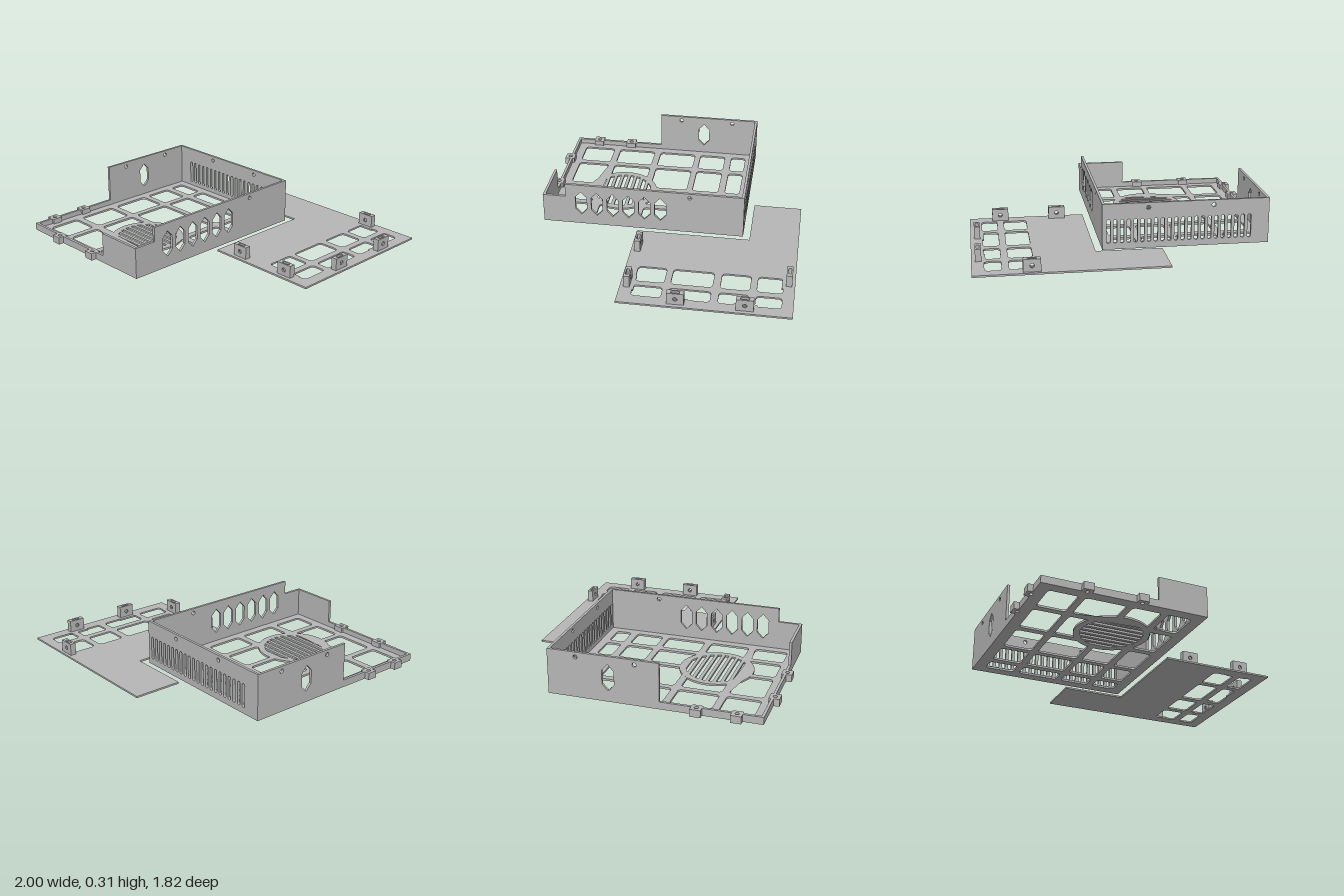
import * as THREE from 'three';

const T = 0.018;                                   // wall thickness
const X0 = -0.965, X1 = 0.15, Z0 = -0.532, Z1 = 0.871; // tray outline
const FAN = { x: -0.305, z: 0.395, outer: 0.25, inner: 0.208 };

const poly = pts => new THREE.Shape(pts.map(p => new THREE.Vector2(p[0], p[1])));
const rect = (a, b, c, d) => poly([[a, b], [c, b], [c, d], [a, d]]);
const circle = (x, y, r) => new THREE.Path().absarc(x, y, r, 0, Math.PI * 2);
const hexagon = z => poly([[z, 0.075], [z + 0.04, 0.118], [z + 0.04, 0.212], [z, 0.255], [z - 0.04, 0.212], [z - 0.04, 0.118]]);

function roundRect(a, b, c, d, r = 0.025) {
  const s = new THREE.Shape(), q = Math.PI / 2;
  s.absarc(c - r, b + r, r, -q, 0);
  s.absarc(c - r, d - r, r, 0, q);
  s.absarc(a + r, d - r, r, q, 2 * q);
  s.absarc(a + r, b + r, r, 2 * q, 3 * q);
  s.closePath();
  return s;
}

const extrude = (shape, depth) =>
  new THREE.ExtrudeGeometry(shape, { depth, bevelEnabled: false, curveSegments: 10 });
// Horizontal plate from an (x, z) shape
const plate = (shape, h) => extrude(shape, h).rotateX(Math.PI / 2).translate(0, h, 0);
// Wall along x from an (x, y) shape, starting at z
const wallX = (shape, z) => extrude(shape, T).translate(0, 0, z);
// Wall along z from a (z, y) shape, ending at x
const wallZ = (shape, x) => extrude(shape, T).rotateY(-Math.PI / 2).translate(x, 0, 0);

// Grid opening, with any part inside the fan ring pushed out to the ring
function gridOpening(a, b, c, d) {
  const pts = roundRect(a, b, c, d).getSpacedPoints(120);
  pts.pop();
  let inside = 0;
  for (const p of pts) {
    const dx = p.x - FAN.x, dz = p.y - FAN.z, len = Math.hypot(dx, dz);
    if (len < FAN.outer) {
      inside++;
      p.set(FAN.x + dx / len * FAN.outer, FAN.z + dz / len * FAN.outer);
    }
  }
  if (inside === pts.length) return null;
  return inside ? new THREE.Path(pts) : roundRect(a, b, c, d);
}

export function createModel() {
  const model = new THREE.Group();
  const grey = new THREE.MeshStandardMaterial({ color: 0xb6b6b6 });
  grey.name = 'grey plastic';
  const tray = new THREE.Group(), lid = new THREE.Group();
  tray.name = 'tray';
  lid.name = 'lid';
  model.add(tray, lid);
  const add = (parent, name, geometry) => {
    const mesh = new THREE.Mesh(geometry, grey);
    mesh.name = name;
    parent.add(mesh);
    return mesh;
  };

  // Tray floor with grid openings and slatted fan vent
  const floor = rect(X0 + T, Z0 + T, X1 - T, Z1 - T);
  const cols = [[-0.888, -0.69], [-0.647, -0.37], [-0.33, -0.134], [-0.09, 0.075]];
  const rows = [[-0.457, -0.35], [-0.3, -0.11], [-0.067, 0.203], [0.25, 0.522], [0.57, 0.795]];
  for (const [a, c] of cols) for (const [b, d] of rows) {
    const hole = gridOpening(a, b, c, d);
    if (hole) floor.holes.push(hole);
  }
  for (let i = 0; i < 8; i++) {
    const za = 0.2 + i * 0.049 - FAN.z, zb = za + 0.026;
    const wa = Math.sqrt(FAN.inner ** 2 - za ** 2), wb = Math.sqrt(FAN.inner ** 2 - zb ** 2);
    floor.holes.push(poly([[-wa, za], [wa, za], [wb, zb], [-wb, zb]]
      .map(([x, z]) => [FAN.x + x, FAN.z + z])));
  }
  add(tray, 'floor', plate(floor, 0.014));

  // Back wall with vertical slots and screw holes
  const back = rect(X0, 0, X1, 0.31);
  for (let i = 0; i < 22; i++) {
    const x = -0.832 + i * 0.0448;
    back.holes.push(roundRect(x - 0.012, 0.042, x + 0.012, 0.203, 0.0115));
  }
  for (const x of [-0.59, -0.155]) back.holes.push(circle(x, 0.277, 0.014));
  add(tray, 'backWall', wallX(back, Z0));

  // Stepped wall with six hexagonal vents
  const left = poly([[Z0 + T, 0], [Z1, 0], [Z1, 0.212], [0.71, 0.212], [0.71, 0.31], [Z0 + T, 0.31]]);
  for (let i = 0; i < 6; i++) left.holes.push(hexagon(0.6 - i * 0.111));
  left.holes.push(circle(-0.16, 0.277, 0.014));
  add(tray, 'leftWall', wallZ(left, X1));

  // Short wall with one hexagonal vent
  const right = rect(Z0 + T, 0, 0.21, 0.31);
  right.holes.push(hexagon(-0.125), circle(0.05, 0.277, 0.014), circle(-0.34, 0.277, 0.014));
  add(tray, 'rightWall', wallZ(right, X0 + T));
  add(tray, 'frontWall', wallX(rect(-0.19, 0, X1 - T, 0.212), Z1 - T));

  // Low lip, broken where the screw tabs sit
  for (const [a, b] of [[X0, -0.705], [-0.635, -0.34], [-0.27, -0.19]])
    add(tray, 'frontLip', wallX(rect(a, 0, b, 0.05), Z1 - T));
  for (const [a, b] of [[0.21, 0.415], [0.485, 0.67], [0.74, Z1 - T]])
    add(tray, 'rightLip', wallZ(rect(a, 0, b, 0.05), X0 + T));
  for (const [x, z] of [[-0.67, 0.873], [-0.305, 0.873], [-0.965, 0.45], [-0.965, 0.705]]) {
    const tab = rect(x - 0.035, z - 0.035, x + 0.035, z + 0.035);
    tab.holes.push(circle(x, z, 0.014));
    add(tray, 'screwTab', plate(tab, 0.05));
  }

  // L-shaped lid with openings
  const cover = poly([[-0.24, -0.915], [1, -0.915], [1, 0.2], [0.2, 0.2], [0.2, -0.58], [-0.24, -0.58]]);
  for (const [a, c] of [[0.61, 0.767], [0.813, 0.92]])
    for (const [b, d] of [[-0.84, -0.675], [-0.63, -0.44], [-0.39, -0.12], [-0.077, 0.115]])
      cover.holes.push(roundRect(a, b, c, d));
  add(lid, 'cover', plate(cover, 0.012));
  for (const [a, b, c, d] of [[0.56, -0.9, 0.71, -0.83], [0.91, -0.69, 0.99, -0.54],
    [0.91, -0.25, 0.99, -0.11], [0.71, 0.108, 0.865, 0.19]])
    add(lid, 'tabPad', plate(rect(a, b, c, d), 0.012));

  // Upright lugs: two drilled cheeks around a slot for a nut
  const cheek = rect(-0.056, 0, 0.056, 0.095);
  cheek.holes.push(circle(0, 0.052, 0.014));
  const core = poly([[-0.056, 0], [0.056, 0], [0.056, 0.095], [0.028, 0.095], [0.028, 0.03],
    [-0.028, 0.03], [-0.028, 0.095], [-0.056, 0.095]]);
  for (const [x, z, turned] of [[0.63, -0.875, 0], [0.39, 0.155, 0], [0.787, 0.155, 0],
    [0.955, -0.615, 1], [0.955, -0.178, 1]]) {
    const lug = new THREE.Group();
    lug.name = 'mountingLug';
    add(lug, 'outerCheek', extrude(cheek, 0.01).translate(0, 0, 0.01));
    add(lug, 'nutSlot', extrude(core, 0.02).translate(0, 0, -0.01));
    add(lug, 'innerCheek', extrude(cheek, 0.01).translate(0, 0, -0.02));
    lug.position.set(x, 0, z);
    lug.rotation.y = turned * Math.PI / 2;
    lid.add(lug);
  }
  return model;
}
